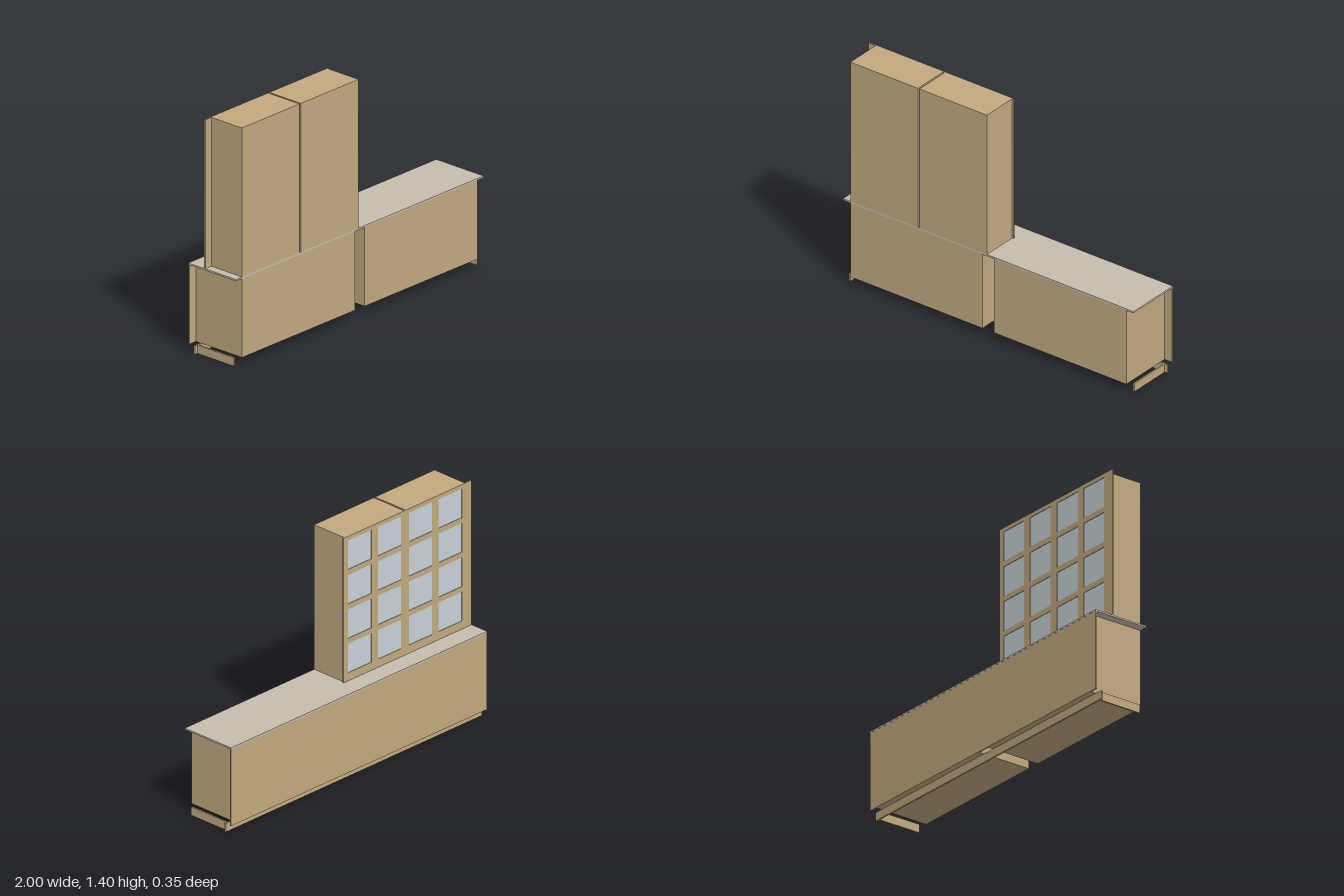
import * as THREE from 'three';

export function createModel() {
  const model = new THREE.Group();
  model.name = 'dresserCabinet';

  const wood = new THREE.MeshStandardMaterial({ color: 0xc2a97f });
  wood.name = 'oak';
  const stone = new THREE.MeshStandardMaterial({ color: 0xc5bcac });
  stone.name = 'worktop stone';
  const glass = new THREE.MeshStandardMaterial({ color: 0xc6d2d8 });
  glass.name = 'pale glass';

  // Box given by its minimum and maximum on each axis
  function box(name, material, [x0, x1], [y0, y1], [z0, z1], parent = model) {
    const mesh = new THREE.Mesh(new THREE.BoxGeometry(x1 - x0, y1 - y0, z1 - z0), material);
    mesh.position.set((x0 + x1) / 2, (y0 + y1) / 2, (z0 + z1) / 2);
    mesh.name = name;
    parent.add(mesh);
    return mesh;
  }

  const back = 0.175;

  // Base cabinets: two carcasses with a row of flat doors and fillers facing -z
  const baseY = [0.05, 0.515];
  for (const [x0, x1] of [[-0.95, -0.04], [0.04, 0.95]]) {
    box('baseCarcass', wood, [x0, x1], baseY, [-0.165, back]);
  }
  const seams = [-1, -0.95, -0.722, -0.495, -0.268, -0.04, 0.04, 0.268, 0.5, 0.732, 0.95, 1];
  for (let i = 0; i < seams.length - 1; i++) {
    const width = seams[i + 1] - seams[i];
    box(width < 0.1 ? 'baseFiller' : 'baseDoor', wood, [seams[i], seams[i + 1]], baseY, [-0.174, -0.165]);
  }

  // Plinth board with a return at each end
  box('plinthFront', wood, [-1, 1], [0, 0.05], [-0.135, -0.125]);
  for (const side of [-1, 1]) {
    const x = side * 0.977;
    box('plinthReturn', wood, [x - 0.005, x + 0.005], [0, 0.05], [-0.125, 0.145]);
  }

  // Worktop
  box('worktop', stone, [-1, 1], [0.515, 0.525], [-0.175, back]);

  // Wall cabinets standing on one half of the worktop
  const upperY = [0.525, 1.402];
  const doorZ = [-0.058, -0.05];
  for (const [x0, x1] of [[-0.95, -0.485], [-0.475, -0.01]]) {
    box('upperCarcass', wood, [x0, x1], upperY, [doorZ[1], back]);
  }
  for (const [x0, x1] of [[-1, -0.95], [-0.485, -0.475], [-0.01, 0]]) {
    box('upperFiller', wood, [x0, x1], upperY, doorZ);
  }

  // Glazed doors: a frame with four openings, each holding a recessed pane
  function glazedDoor(x0, x1) {
    const door = new THREE.Group();
    door.name = 'glazedDoor';
    const rect = (path, l, r, b, t) =>
      path.moveTo(l, b).lineTo(r, b).lineTo(r, t).lineTo(l, t).closePath();
    const shape = new THREE.Shape();
    rect(shape, x0, x1, upperY[0], upperY[1]);
    const mid = (x0 + x1) / 2;
    const l = mid - 0.091, r = mid + 0.091;
    for (let i = 0; i < 4; i++) {
      const b = 0.574 + i * 0.209, t = b + 0.176;
      const hole = new THREE.Path();
      rect(hole, l, r, b, t);
      shape.holes.push(hole);
      box('pane', glass, [l, r], [b, t], [-0.055, -0.051], door);
    }
    const frame = new THREE.Mesh(
      new THREE.ExtrudeGeometry(shape, { depth: doorZ[1] - doorZ[0], bevelEnabled: false }), wood);
    frame.position.z = doorZ[0];
    frame.name = 'doorFrame';
    door.add(frame);
    model.add(door);
  }
  for (const [x0, x1] of [[-0.95, -0.7175], [-0.7175, -0.485], [-0.475, -0.2425], [-0.2425, -0.01]]) {
    glazedDoor(x0, x1);
  }

  return model;
}
